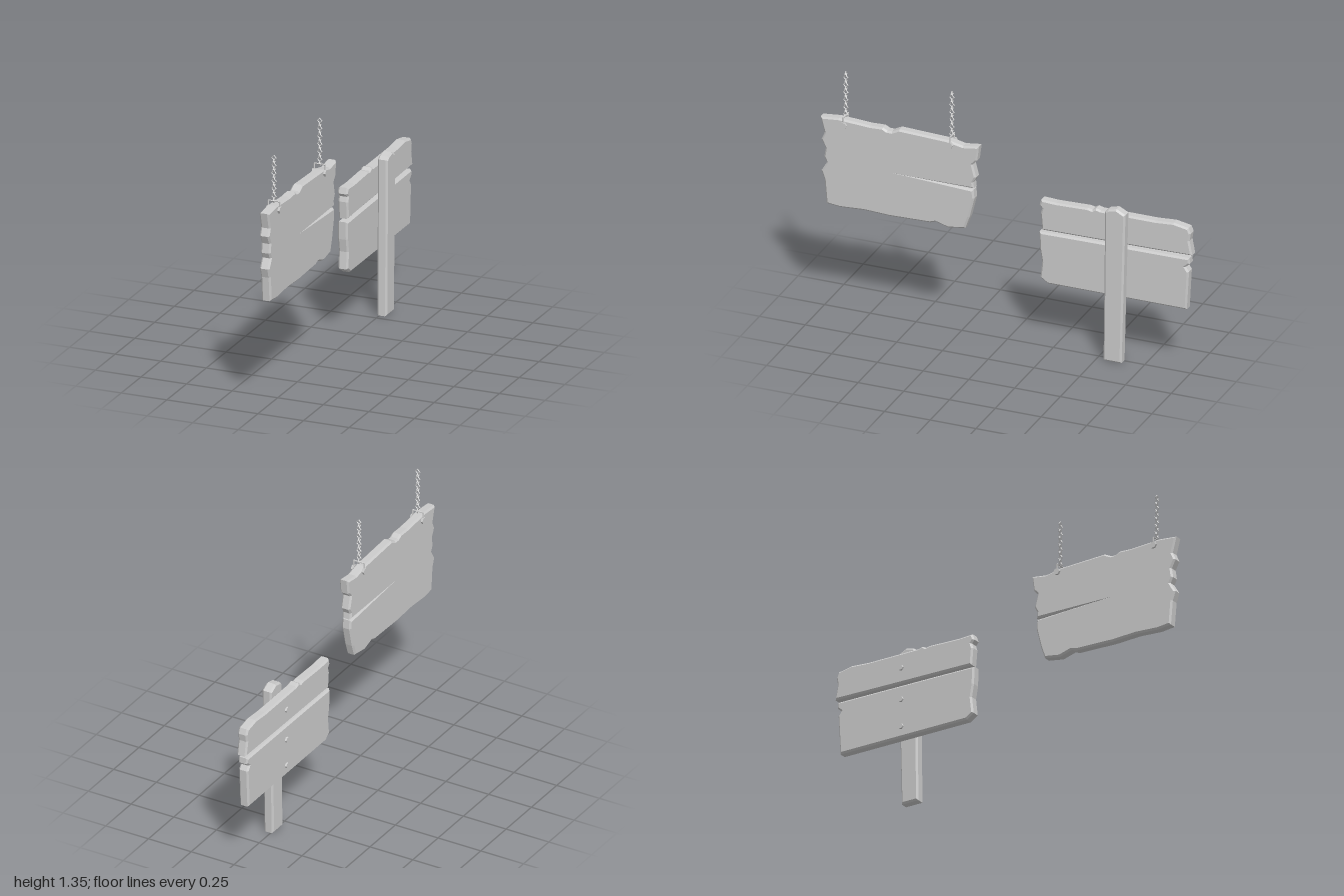
import * as THREE from 'three';

const material = new THREE.MeshStandardMaterial({ color: 0xcccccc, flatShading: true });

function add(parent, name, geometry, x = 0, y = 0, z = 0) {
  const mesh = new THREE.Mesh(geometry, material);
  mesh.name = name;
  mesh.position.set(x, y, z);
  parent.add(mesh);
  return mesh;
}

// Chamfered slab: outline given as [z, y], thickness along x from x0 to x1
function slab(parent, name, outline, x0, x1, bevel = 0.009) {
  const shape = new THREE.Shape(outline.map(([z, y]) => new THREE.Vector2(z, y)));
  const geometry = new THREE.ExtrudeGeometry(shape, {
    depth: x1 - x0 - 2 * bevel,
    bevelEnabled: true,
    bevelThickness: bevel,
    bevelSize: bevel,
    bevelOffset: -bevel,
    bevelSegments: 1,
  });
  geometry.translate(0, 0, bevel);
  geometry.rotateY(-Math.PI / 2);
  return add(parent, name, geometry, x1);
}

// Straight round bar between two points
function bar(parent, name, a, b, radius) {
  const from = new THREE.Vector3(...a), to = new THREE.Vector3(...b);
  const mesh = add(parent, name, new THREE.CylinderGeometry(radius, radius, from.distanceTo(to), 5));
  mesh.position.copy(from).lerp(to, 0.5);
  mesh.quaternion.setFromUnitVectors(new THREE.Vector3(0, 1, 0), to.sub(from).normalize());
}

// Chain with a bracket clamped over the top edge of the hanging board
function chain(z) {
  const group = new THREE.Group();
  group.name = 'chain';
  const cx = 0.032, half = 0.031, low = 1.06, high = 1.104;
  for (const side of [-1, 1]) {
    const x = cx + side * half;
    bar(group, 'bracketSide', [x, low, z], [x, high, z], 0.004);
    const bolt = add(group, 'boltHead', new THREE.CylinderGeometry(0.018, 0.018, 0.014, 6), x, low, z);
    bolt.rotation.z = Math.PI / 2;
  }
  bar(group, 'bracketTop', [cx - half, high, z], [cx + half, high, z], 0.004);
  // Diamond links, each turned a quarter against the last
  for (let i = 0; i < 12; i++) {
    const link = add(group, 'chainLink', new THREE.TorusGeometry(0.012, 0.0035, 4, 4), cx, 1.108 + i * 0.0207, z);
    link.scale.y = 1.1;
    link.rotation.y = i % 2 ? 0 : Math.PI / 2;
  }
  return group;
}

export function createModel() {
  const model = new THREE.Group();
  model.name = 'woodenSigns';

  // Hanging sign with a split running in from one end
  const hanging = new THREE.Group();
  hanging.name = 'hangingSign';
  slab(hanging, 'hangingBoard', [
    [1.0, 1.08], [0.90, 1.09], [0.73, 1.08], [0.66, 1.083], [0.635, 1.07], [0.61, 1.07], [0.57, 1.09],
    [0.30, 1.08], [0.22, 1.064], [0.135, 1.075], [0.145, 0.995], [0.168, 0.97], [0.15, 0.90],
    [0.166, 0.87], [0.162, 0.837], [0.60, 0.841], [0.164, 0.829],
    [0.16, 0.78], [0.187, 0.67], [0.21, 0.605], [0.30, 0.59], [0.37, 0.61], [0.40, 0.6],
    [0.62, 0.594], [0.76, 0.6], [0.89, 0.592], [0.967, 0.6], [0.978, 0.73], [0.995, 0.78],
    [0.965, 0.83], [0.98, 0.86], [0.972, 0.91], [0.995, 0.955], [0.978, 0.995],
  ], 0.005, 0.058);
  hanging.add(chain(0.29), chain(0.87));
  model.add(hanging);

  // Post sign made of two planks
  const standing = new THREE.Group();
  standing.name = 'postSign';
  slab(standing, 'upperPlank', [
    [-0.165, 0.775], [-0.175, 0.807], [-0.26, 0.803], [-0.43, 0.808], [-0.455, 0.803], [-0.475, 0.815],
    [-0.50, 0.808], [-0.80, 0.808], [-0.90, 0.815], [-0.98, 0.80], [-0.992, 0.77], [-0.985, 0.73],
    [-1.0, 0.65], [-0.76, 0.645], [-0.18, 0.638], [-0.172, 0.73], [-0.18, 0.757],
  ], -0.07, -0.015);
  slab(standing, 'lowerPlank', [
    [-0.165, 0.625], [-0.40, 0.628], [-0.985, 0.632], [-0.987, 0.60], [-0.965, 0.58], [-0.982, 0.555],
    [-0.97, 0.342], [-0.21, 0.342], [-0.17, 0.37], [-0.18, 0.46], [-0.168, 0.53],
  ], -0.07, -0.015);
  slab(standing, 'post', [
    [-0.538, 0], [-0.637, 0], [-0.658, 0.835], [-0.61, 0.86], [-0.565, 0.85], [-0.547, 0.835],
  ], -0.015, 0.04);

  // Nail heads on the plank face
  for (const y of [0.725, 0.55, 0.4]) {
    const nail = add(standing, 'nailHead', new THREE.CylinderGeometry(0.013, 0.017, 0.012, 6), -0.072, y, -0.6);
    nail.rotation.z = Math.PI / 2;
  }
  model.add(standing);
  return model;
}
